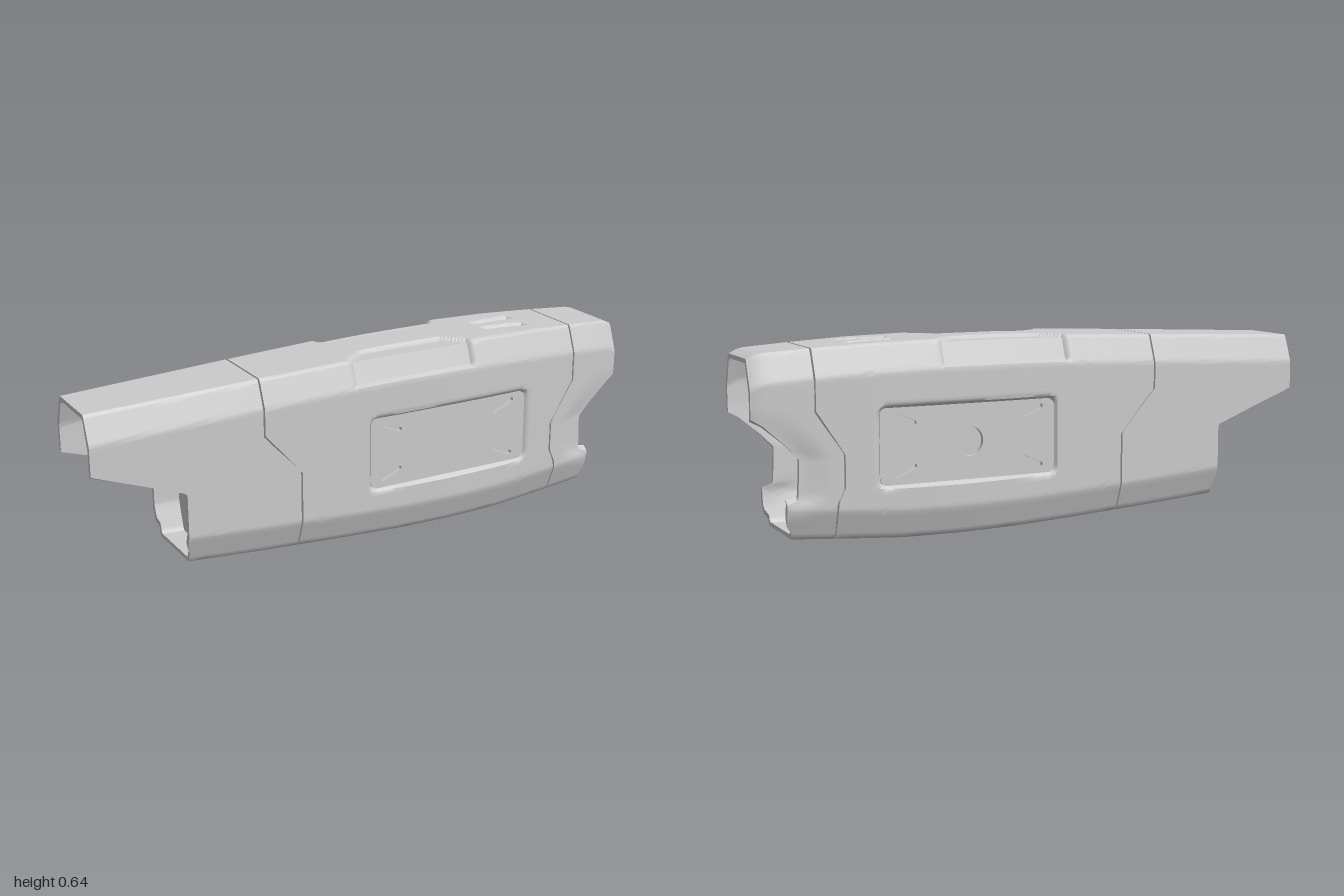
import * as THREE from 'three';
import { toCreasedNormals } from 'three/addons/utils/BufferGeometryUtils.js';

const WALL = 0.014, GAP = 0.003;

// Piecewise-linear lookup through [key, value] pairs with rising keys
function pw(list, k) {
  if (k <= list[0][0]) return list[0][1];
  for (let i = 1; i < list.length; i++) {
    const [k0, v0] = list[i - 1], [k1, v1] = list[i];
    if (k <= k1) return v0 + (v1 - v0) * (k - k0) / (k1 - k0);
  }
  return list[list.length - 1][1];
}
const clamp01 = v => Math.min(1, Math.max(0, v));

// Outline along the length: top height, bottom height, half width
const TOP = [[-1, .602], [-.42, .627], [-.1, .639], [.1, .643], [.4, .643], [.6, .639], [.8, .629], [.965, .619], [1, .603]];
const BOT = [[-.69, .047], [-.42, .029], [-.1, .012], [.1, .004], [.3, .001], [.5, .003], [.7, .016], [.87, .028], [.89, .036]];
const HALF = [[-1, .142], [-.42, .159], [-.05, .169], [.1, .174], [.25, .176], [.4, .175], [.6, .168], [.8, .157], [.97, .145], [1, .137]];
// End and seam lines: x by height
const END_L = [[.047, -.68], [.06, -.69], [.285, -.69], [.43, -1], [.6, -1]];
const SEAM_L = [[.29, -.29], [.45, -.42]];
const SEAM_R = [[.11, .732], [.13, .73], [.18, .708], [.29, .708], [.44, .8]];
const END_R = [[.03, .875], [.045, .892], [.12, .892], [.14, .855], [.28, .85], [.44, 1], [.6, 1]];

// Point of the eight-sided section; s runs 0 (top middle) to 5 (bottom middle)
function section(x, s, inset) {
  const top = pw(TOP, x) - inset, bot = pw(BOT, x) + inset;
  const zm = pw(HALF, x) - inset, zt = zm - .037 + inset * .4;
  const pts = [[0, top], [zt, top], [zm, top - .093], [zm, bot + .097], [zt, bot], [0, bot]];
  const i = Math.min(4, Math.floor(s)), f = s - i;
  return { z: pts[i][0] + (pts[i + 1][0] - pts[i][0]) * f, y: pts[i][1] + (pts[i + 1][1] - pts[i][1]) * f };
}

// Rows around the section, with narrow cuts in place of sharp corners
const half = [];
function rows(a, b, n) { for (let i = 0; i <= n; i++) half.push(a + (b - a) * i / n); }
rows(0, .96, 24); rows(1.06, 1.95, 12); rows(2.01, 2.99, 46); rows(3.05, 3.94, 6); rows(4.04, 5, 5);
const ring = [...half.map(s => [s, 1]), ...half.slice(1, -1).reverse().map(s => [s, -1])];
const nominalY = s => section(0, s, 0).y;

// Hollow shell: outside left to right, then inside right to left, closed on itself
function shell(name, columnsAt, shape, material) {
  const pos = [], index = [], m = ring.length;
  let count = 0;
  for (const [s, side] of ring) {
    const xs = columnsAt(nominalY(s));
    const loop = [...xs.map(x => [x, 0]), ...xs.slice().reverse().map(x => [x, WALL])];
    count = loop.length;
    loop.forEach(([x, inset], i) => {
      const p = section(x, s, inset);
      shape(p, x, s, inset, (i < xs.length ? i : count - 1 - i) / (xs.length - 1));
      pos.push(x, p.y, p.z * side);
    });
  }
  for (let j = 0; j < m; j++) for (let i = 0; i < count; i++) {
    const k = (j + 1) % m, l = (i + 1) % count;
    const a = j * count + i, b = k * count + i, c = j * count + l, d = k * count + l;
    index.push(a, b, c, c, b, d);
  }
  const g = new THREE.BufferGeometry();
  g.setAttribute('position', new THREE.Float32BufferAttribute(pos, 3));
  g.setIndex(index);
  const mesh = new THREE.Mesh(toCreasedNormals(g, 0.66), material);
  mesh.name = name;
  return mesh;
}
const spread = (a, b, n) => Array.from({ length: n + 1 }, (_, i) => a + (b - a) * i / n);

// Body details: side recess, grip scoops on the top corners, two top slots
function shapeBody(p, x, s, inset) {
  if (s > 2 && s < 3) {
    const dx = Math.abs(x - .28) - .29, dy = Math.abs(p.y - .307) - .105;
    const d = Math.hypot(Math.max(dx, 0), Math.max(dy, 0)) + Math.min(Math.max(dx, dy), 0) - .03;
    const m = clamp01(-d / .02);
    p.z += (.145 - inset - p.z) * m;
  }
  if (s < 2) {
    const flare = .075 * clamp01((s - .39) / .45);
    const dist = Math.min(x - (-.015 - flare), .3 + flare - x, (s - .37) * .14, (1.93 - s) * .1);
    const d = .012 * clamp01(dist / .011);
    p.y -= s < 1 ? d : d * .4;
    p.z -= d * clamp01((s - .85) / .2);
  }
  if (s < 1) {
    const t = clamp01((x - .506) / .138);
    const d = Math.hypot(x - .506 - .138 * t, p.z - (.034 + .012 * t)) - .019;
    p.y -= .012 * clamp01(-d / .007);
  }
}

// Closed capsule-shaped hole
function slotPath(cx, cy, angle, length, r) {
  const path = new THREE.Path(), pts = [];
  for (let i = 0; i < 16; i++) {
    const a = (i < 8 ? -Math.PI / 2 + i * Math.PI / 7 : Math.PI / 2 + (i - 8) * Math.PI / 7);
    const u = Math.cos(a) * r + (i < 8 ? 1 : -1) * (length / 2 - r), v = Math.sin(a) * r;
    pts.push(new THREE.Vector2(cx + u * Math.cos(angle) - v * Math.sin(angle), cy + u * Math.sin(angle) + v * Math.cos(angle)));
  }
  return path.setFromPoints(pts);
}

// Plate on the recess floor with four slots and, if asked, a round hole
function sidePlate(name, z, withHole, material) {
  const x0 = -.03, x1 = .59, y0 = .182, y1 = .432, r = .025;
  const shape = new THREE.Shape();
  shape.absarc(x1 - r, y1 - r, r, 0, Math.PI / 2);
  shape.absarc(x0 + r, y1 - r, r, Math.PI / 2, Math.PI);
  shape.absarc(x0 + r, y0 + r, r, Math.PI, Math.PI * 1.5);
  shape.absarc(x1 - r, y0 + r, r, Math.PI * 1.5, Math.PI * 2);
  for (const sx of [-1, 1]) for (const sy of [-1, 1])
    shape.holes.push(slotPath(.277 + sx * .226, .309 + sy * .084, sx * sy * .42, .085, .008));
  if (withHole) shape.holes.push(new THREE.Path().absarc(.28, .307, .05, 0, Math.PI * 2, true));
  const g = new THREE.ExtrudeGeometry(shape, { depth: .016, bevelEnabled: false, curveSegments: 12 });
  const mesh = new THREE.Mesh(g, material);
  mesh.position.z = z;
  mesh.name = name;
  return mesh;
}

export function createModel() {
  const group = new THREE.Group();
  group.name = 'housing';
  const grey = new THREE.MeshStandardMaterial({ color: 0xcccccc });
  const thin = new THREE.MeshStandardMaterial({ color: 0xcccccc, side: THREE.DoubleSide });

  // Rear sleeve with its stepped open end
  group.add(shell('rearSleeve', y => spread(pw(END_L, y), pw(SEAM_L, y) - GAP, 8), () => {}, grey));

  // Main body between the two seams
  const middle = spread(-.27, .69, 100);
  group.add(shell('mainBody', y => {
    const a = pw(SEAM_L, y) + GAP, b = pw(SEAM_R, y) - GAP;
    return [a, (a - .27) / 2, ...middle, (b + .69) / 2, b];
  }, shapeBody, grey));

  // Front cap, its waist drawn in toward the notched rim
  group.add(shell('frontCap', y => {
    const a = pw(SEAM_R, y) + GAP, b = pw(END_R, y);
    return [0, .15, .3, .45, .6, .75, .88, .95, 1].map(t => a + (b - a) * t);
  }, (p, x, s, inset, t) => {
    const waist = pw([[.1, 0], [.17, 1], [.3, 1], [.44, 0]], p.y);
    p.z -= .012 * waist * clamp01((t - .3) / .4);
  }, grey));

  // Recessed plates on both sides
  group.add(sidePlate('frontSidePlate', .1445, false, grey));
  group.add(sidePlate('backSidePlate', -.1605, true, grey));

  // Wall closing the inside
  const x = -.6, ringPts = [1, 2, 3, 4].map(s => section(x, s, WALL * .7));
  const outline = [...ringPts.map(p => new THREE.Vector2(p.z, p.y)),
    ...ringPts.slice().reverse().map(p => new THREE.Vector2(-p.z, p.y))];
  const bulkhead = new THREE.Mesh(new THREE.ShapeGeometry(new THREE.Shape(outline)), thin);
  bulkhead.rotation.y = Math.PI / 2;
  bulkhead.position.x = x;
  bulkhead.name = 'bulkhead';
  group.add(bulkhead);

  return group;
}
